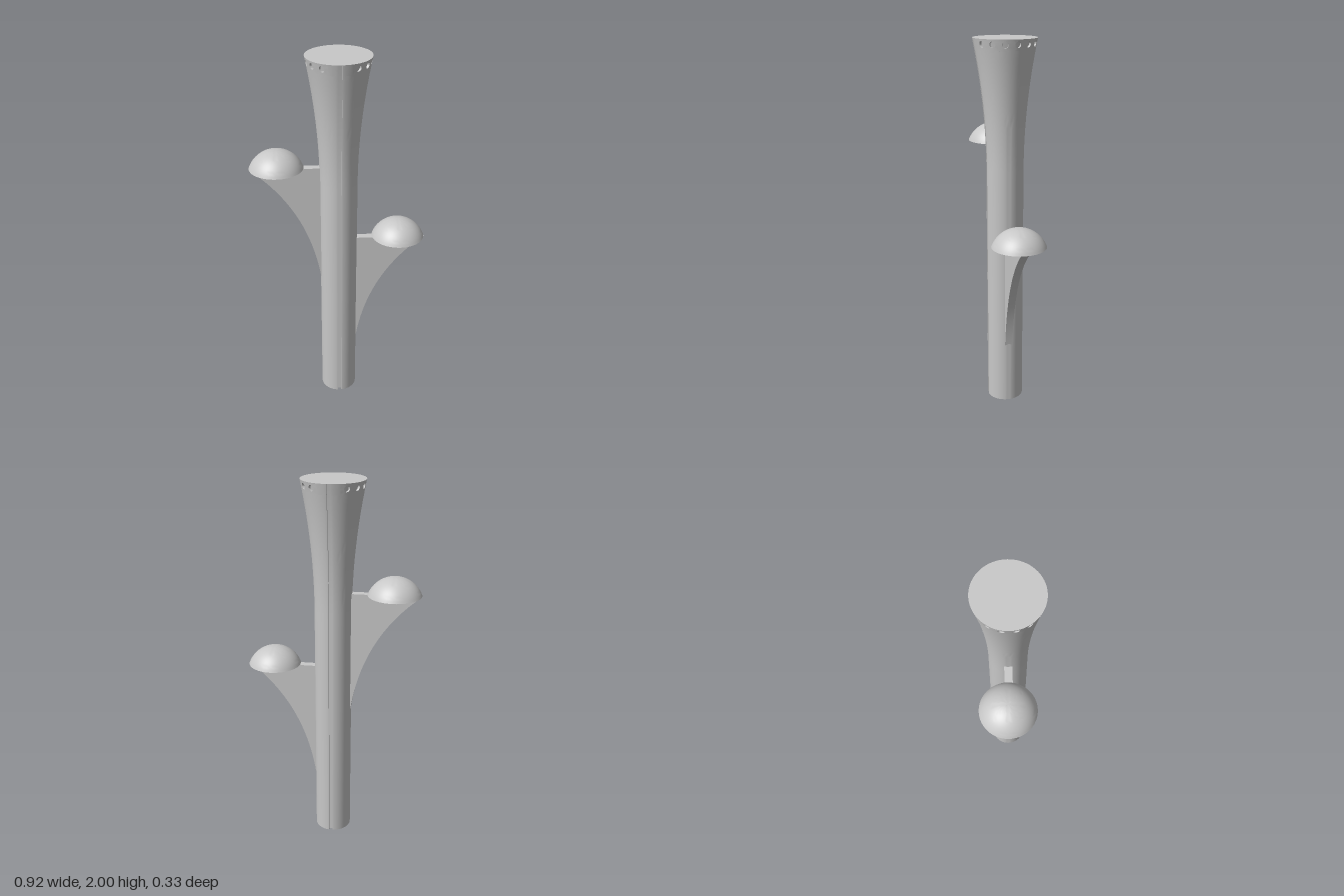
import * as THREE from 'three';
import { mergeGeometries, toCreasedNormals } from 'three/addons/utils/BufferGeometryUtils.js';

const BAND = 1.945, TOP = 2;            // perforated band at the rim
const GROOVE = 0.01, DEPTH = 0.015;     // groove half width and depth
const STEP = THREE.MathUtils.degToRad(23), HOLE = 0.0155;

// column radius: straight shaft, then a trumpet flare
const radius = (y) => 0.098 + 0.067 * Math.pow(Math.max(0, (y - 1.33) / 0.67), 2);
const grooveAngle = (y) => Math.asin(GROOVE / radius(y));

// point on the column; theta runs from the front (+z) towards +x
function onColumn(theta, y, inset = 0) {
  const r = radius(y) - inset;
  return [Math.sin(theta) * r, y, Math.cos(theta) * r];
}

// surface grid from f(i, j), with i and j as whole steps
function grid(nu, nv, f) {
  const pos = [], idx = [];
  for (let j = 0; j <= nv; j++) for (let i = 0; i <= nu; i++) pos.push(...f(i, j));
  for (let j = 0; j < nv; j++) for (let i = 0; i < nu; i++) {
    const a = j * (nu + 1) + i, d = a + nu + 1;
    idx.push(a, a + 1, d + 1, a, d + 1, d);
  }
  const g = new THREE.BufferGeometry();
  g.setAttribute('position', new THREE.Float32BufferAttribute(pos, 3));
  g.setIndex(idx);
  return g;
}

// groove cross-section at the front (side 1) or back (side -1)
function groovePoints(y, side) {
  const z = radius(y) * Math.cos(grooveAngle(y));
  return [[-GROOVE, z], [-GROOVE, z - DEPTH], [GROOVE, z - DEPTH], [GROOVE, z]]
    .map(([x, d]) => [x * side, y, d * side]);
}

// whole cross-section: groove, side arc, groove, side arc
function section(y) {
  const pts = [], a = grooveAngle(y), n = 32;
  for (const side of [1, -1]) {
    pts.push(...groovePoints(y, side));
    const start = side > 0 ? 0 : Math.PI;
    for (let i = 1; i < n; i++) pts.push(onColumn(start + a + (Math.PI - 2 * a) * i / n, y));
  }
  pts.push(pts[0]);
  return pts;
}

// one cell of the rim with a round recess
function holeCell(theta) {
  const mid = (BAND + TOP) / 2, half = (TOP - BAND) / 2, yc = 1.974, n = 24;
  return grid(n, 3, (i, j) => {
    const p = -2 * Math.PI * i / n, c = Math.cos(p), s = Math.sin(p);
    if (j === 0) return onColumn(theta, yc, 0.012);
    if (j < 3) return onColumn(theta + HOLE * c / radius(yc), yc + HOLE * s, j === 1 ? 0.012 : 0);
    const m = Math.max(Math.abs(c), Math.abs(s));
    return onColumn(theta + STEP / 2 * c / m, mid + half * s / m);
  });
}

function columnGeometry() {
  const parts = [];
  // shaft and flare up to the band
  const levels = [0, 0.65, 1.33];
  for (let k = 1; k <= 16; k++) levels.push(1.33 + (BAND - 1.33) * k / 16);
  const rings = levels.map(section);
  parts.push(grid(rings[0].length - 1, levels.length - 1, (i, j) => rings[j][i]));
  // underside
  parts.push(grid(rings[0].length - 1, 1, (i, j) => [rings[0][i][0] * j, 0, rings[0][i][2] * j]));
  // rim band: grooves, plain strips beside them, holes around both sides
  for (const side of [1, -1]) {
    const start = side > 0 ? 0 : Math.PI;
    const edge = Math.PI / 2 - 3 * STEP;
    parts.push(grid(3, 2, (i, j) => groovePoints(BAND + (TOP - BAND) * j / 2, side)[i]));
    for (const end of [0, 1]) parts.push(grid(4, 2, (i, j) => {
      const y = BAND + (TOP - BAND) * j / 2, a = grooveAngle(y);
      const t = end ? Math.PI - edge + (edge - a) * i / 4 : a + (edge - a) * i / 4;
      return onColumn(start + t, y);
    }));
    for (let k = 0; k < 6; k++) parts.push(holeCell(start + edge + STEP * (k + 0.5)));
  }
  return toCreasedNormals(mergeGeometries(parts), 0.6);
}

// curved bracket fin pointing to +x, its top edge at y = 0
function finGeometry() {
  const s = new THREE.Shape();
  s.moveTo(0.08, 0);
  s.lineTo(0.08, -0.66);
  s.lineTo(0.097, -0.66);
  s.quadraticCurveTo(0.16, -0.23, 0.458, 0);
  s.closePath();
  const g = new THREE.ExtrudeGeometry(s, { depth: 0.04, bevelEnabled: false, curveSegments: 24 });
  g.translate(0, 0, -0.02);
  return toCreasedNormals(g, 0.5);
}

// shallow dome with a flat underside
function domeGeometry() {
  const w = 0.14, h = 0.096, R = (w * w + h * h) / (2 * h), max = Math.asin(w / R);
  const pts = [new THREE.Vector2(0, 0)];
  for (let i = 0; i <= 16; i++) {
    const a = max * (1 - i / 16);
    pts.push(new THREE.Vector2(R * Math.sin(a), R * Math.cos(a) - (R - h)));
  }
  return toCreasedNormals(new THREE.LatheGeometry(pts, 48), 0.6);
}

export function createModel() {
  const model = new THREE.Group();
  const grey = new THREE.MeshStandardMaterial({ color: 0xc8c8c8 });
  grey.name = 'grey';
  const add = (name, geometry, parent = model) => {
    const m = new THREE.Mesh(geometry, grey);
    m.name = name;
    parent.add(m);
    return m;
  };

  add('column', columnGeometry());
  const lid = add('columnTop', new THREE.CircleGeometry(radius(TOP), 64));
  lid.rotation.x = -Math.PI / 2;
  lid.position.y = TOP;

  // two branches, the right one higher and turned round
  const fin = finGeometry(), dome = domeGeometry();
  for (const [name, y, turn] of [['left', 1.004, 0], ['right', 1.42, Math.PI]]) {
    const branch = new THREE.Group();
    branch.name = name + 'Branch';
    branch.position.y = y;
    branch.rotation.y = turn;
    add(name + 'Fin', fin, branch);
    add(name + 'Dome', dome, branch).position.set(0.319, 0, turn ? 0.004 : -0.004);
    model.add(branch);
  }
  return model;
}
